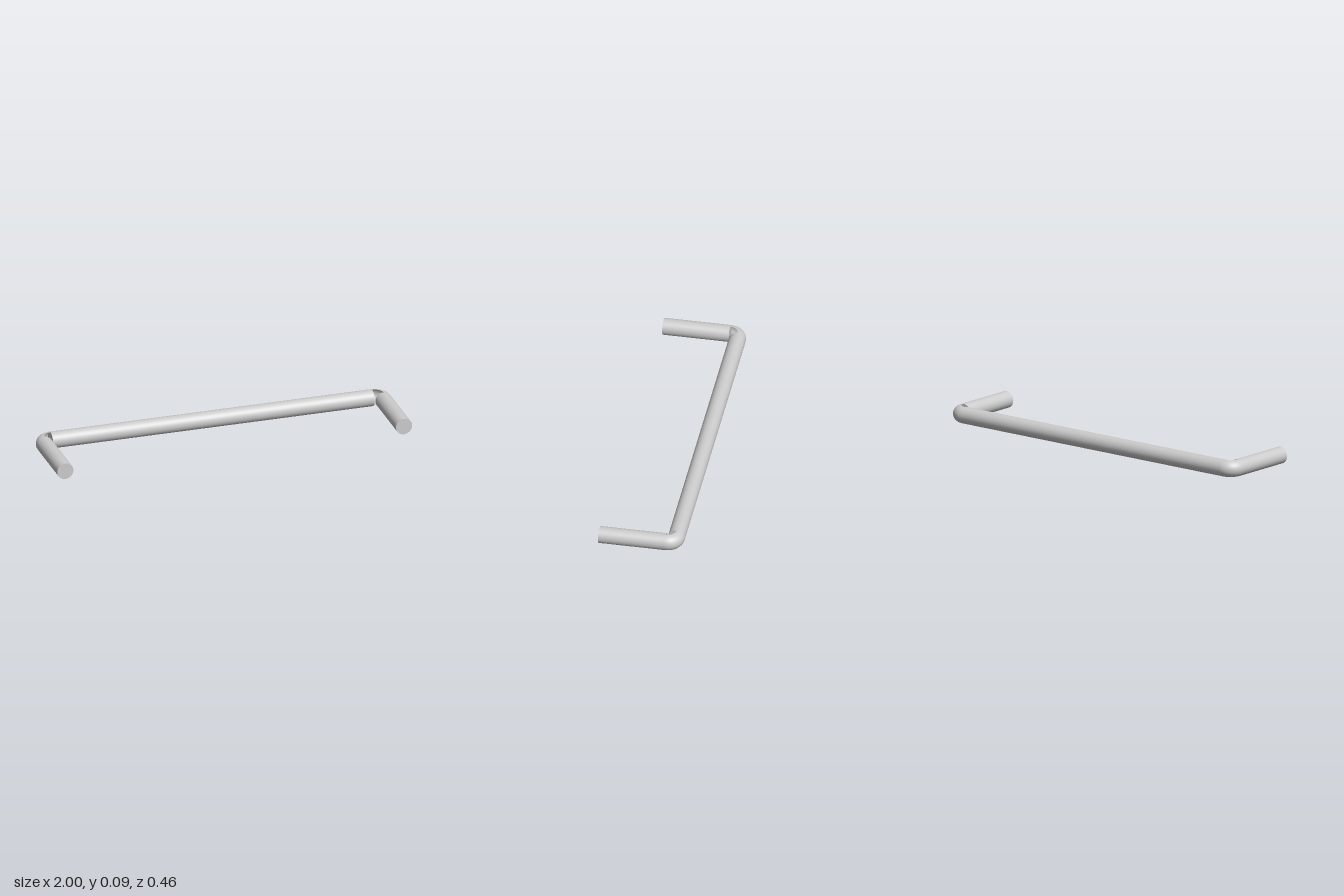
import * as THREE from 'three';

const R = 0.0457;       // rod radius
const BEND = 0.048;     // elbow centreline radius
const CX = 0.954 - BEND; // elbow pivot, x
const CZ = -0.183 + BEND; // elbow pivot, z
const FRONT = 0.228;    // free ends of the posts
const SIDES = 32;

export function createModel() {
  const group = new THREE.Group();
  const material = new THREE.MeshStandardMaterial({ color: 0xcccccc });
  const shellMaterial = new THREE.MeshStandardMaterial({ color: 0xcccccc, side: THREE.DoubleSide });

  const add = (name, geometry, x, z, mat = material) => {
    const mesh = new THREE.Mesh(geometry, mat);
    mesh.name = name;
    mesh.position.set(x, R, z);
    group.add(mesh);
  };

  // Long grip bar across the back
  add('gripBar', new THREE.CylinderGeometry(R, R, 2 * CX, SIDES).rotateZ(Math.PI / 2), 0, CZ - BEND);

  // Outer half of the rod section, swept a quarter turn for each elbow
  const profile = [];
  for (let i = 0; i <= SIDES / 2; i++) {
    const a = -Math.PI / 2 + (i / (SIDES / 2)) * Math.PI;
    profile.push(new THREE.Vector2(BEND + R * Math.cos(a), R * Math.sin(a)));
  }

  for (const side of [1, -1]) {
    const label = side > 0 ? 'left' : 'right';

    // Post running forward from the elbow
    const length = FRONT - CZ;
    add(label + 'Post', new THREE.CylinderGeometry(R, R, length, SIDES).rotateX(Math.PI / 2),
      side * (CX + BEND), CZ + length / 2);

    // Rounded elbow shell, open on its inner side
    const start = side > 0 ? Math.PI / 2 : Math.PI;
    add(label + 'Elbow', new THREE.LatheGeometry(profile, 12, start, Math.PI / 2),
      side * CX, CZ, shellMaterial);
  }

  return group;
}
